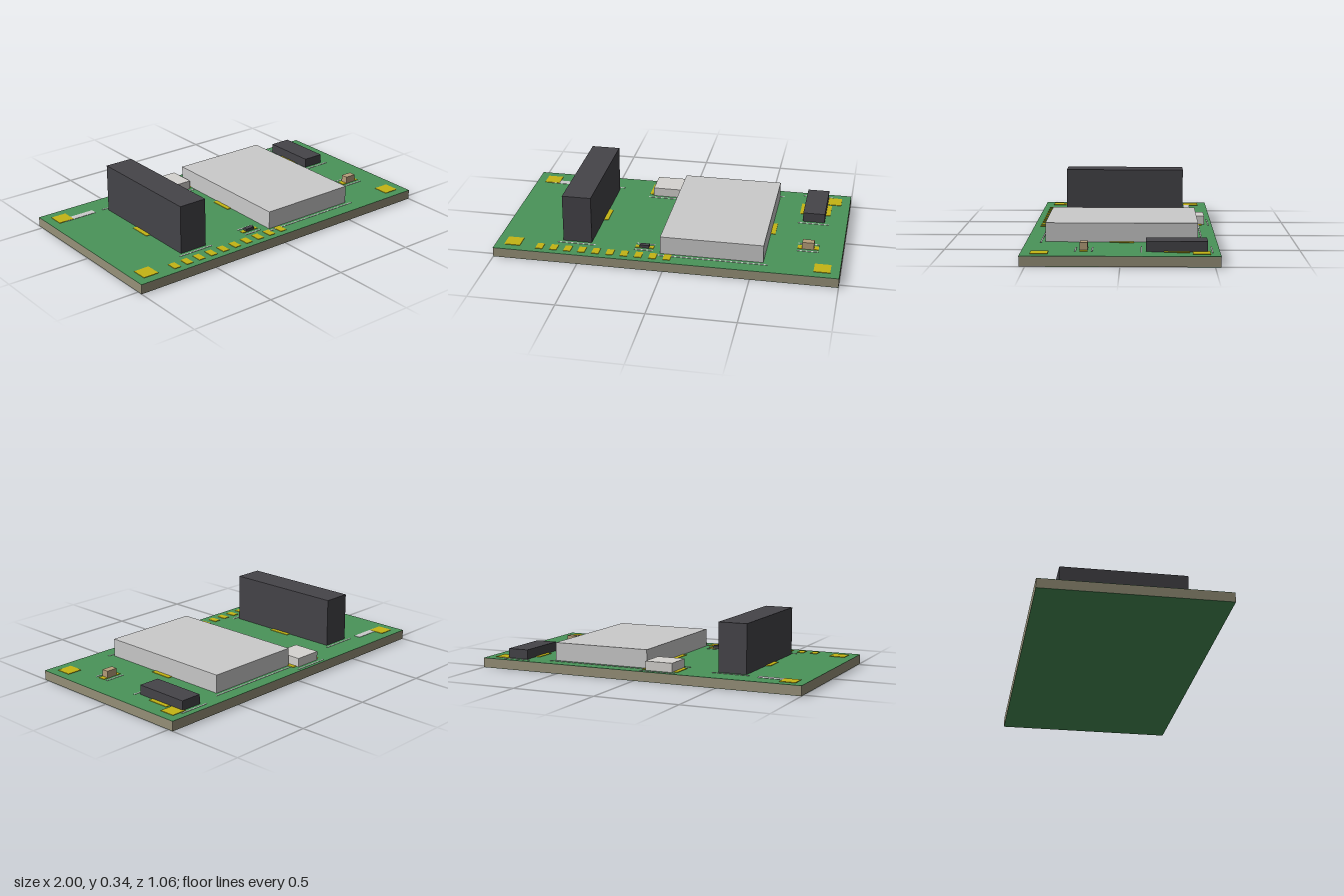
import * as THREE from 'three';

const mat = (color) => new THREE.MeshStandardMaterial({ color });
const MASK = mat(0x4a9459), CORE = mat(0x98927a), GOLD = mat(0xc4b414), INK = mat(0xc4c8c4);
const DARK = mat(0x454449), METAL = mat(0xc0c1c2), WHITE = mat(0xd6d4d0), TAN = mat(0xb8a07c);
const TOP = 0.057; // upper surface of the board

// Box given by its limits on each axis
function box(parent, name, material, [x0, x1], [y0, y1], [z0, z1]) {
  const mesh = new THREE.Mesh(new THREE.BoxGeometry(x1 - x0, y1 - y0, z1 - z0), material);
  mesh.position.set((x0 + x1) / 2, (y0 + y1) / 2, (z0 + z1) / 2);
  mesh.name = name;
  parent.add(mesh);
}

// Surface-mounted part: body, a solder pad at each side, outline strokes in front and behind
function component(parent, name, material, [x0, x1], [z0, z1], top, padDepth) {
  const group = new THREE.Group();
  group.name = name;
  box(group, name + 'Body', material, [x0, x1], [TOP, top], [z0, z1]);
  const zc = (z0 + z1) / 2, out = 0.027, tuck = Math.min(0.027, (x1 - x0) / 4);
  const padZ = [zc - padDepth / 2, zc + padDepth / 2];
  for (const [a, b] of [[x0 - out, x0 + tuck], [x1 - tuck, x1 + out]])
    box(group, name + 'Pad', GOLD, [a, b], [TOP, TOP + 0.003], padZ);
  for (const z of [z0 - 0.024, z1 + 0.024])
    box(group, name + 'Outline', INK, [x0 - out, x1 + out], [TOP, TOP + 0.002], [z - 0.004, z + 0.004]);
  parent.add(group);
}

export function createModel() {
  const model = new THREE.Group();
  model.name = 'circuitBoard';

  // Board core with solder mask on both faces
  const X = [-1, 1], Z = [-0.532, 0.532];
  box(model, 'boardCore', CORE, X, [0.001, TOP - 0.002], Z);
  box(model, 'topMask', MASK, X, [TOP - 0.002, TOP], Z);
  box(model, 'bottomMask', MASK, X, [0, 0.001], Z);

  // Mounted parts
  component(model, 'header', DARK, [-0.62, -0.45], [-0.368, 0.366], 0.343, 0.136);
  component(model, 'shieldedModule', METAL, [-0.032, 0.564], [-0.426, 0.423], 0.164, 0.136);
  component(model, 'connector', WHITE, [-0.22, -0.052], [-0.486, -0.32], 0.11, 0.136);
  component(model, 'chip', DARK, [0.735, 0.865], [-0.467, -0.136], 0.113, 0.136);
  component(model, 'capacitor', TAN, [0.764, 0.833], [0.177, 0.219], 0.1, 0.042);
  component(model, 'resistor', DARK, [-0.162, -0.108], [0.349, 0.376], 0.075, 0.027);

  // Corner pads
  for (const x of [-0.9, 0.9])
    for (const z of [-0.432, 0.432])
      box(model, 'cornerPad', GOLD, [x - 0.047, x + 0.047], [TOP, TOP + 0.003], [z - 0.047, z + 0.047]);

  // Row of contacts along the front edge
  for (let i = 0; i < 10; i++) {
    const x = -0.735 + i * 0.0835;
    box(model, 'edgeContact', GOLD, [x - 0.021, x + 0.021], [TOP, TOP + 0.003], [0.432, 0.495]);
  }

  // Plain printed bar
  box(model, 'printedBar', INK, [-0.904, -0.702], [TOP, TOP + 0.002], [-0.422, -0.382]);
  return model;
}
